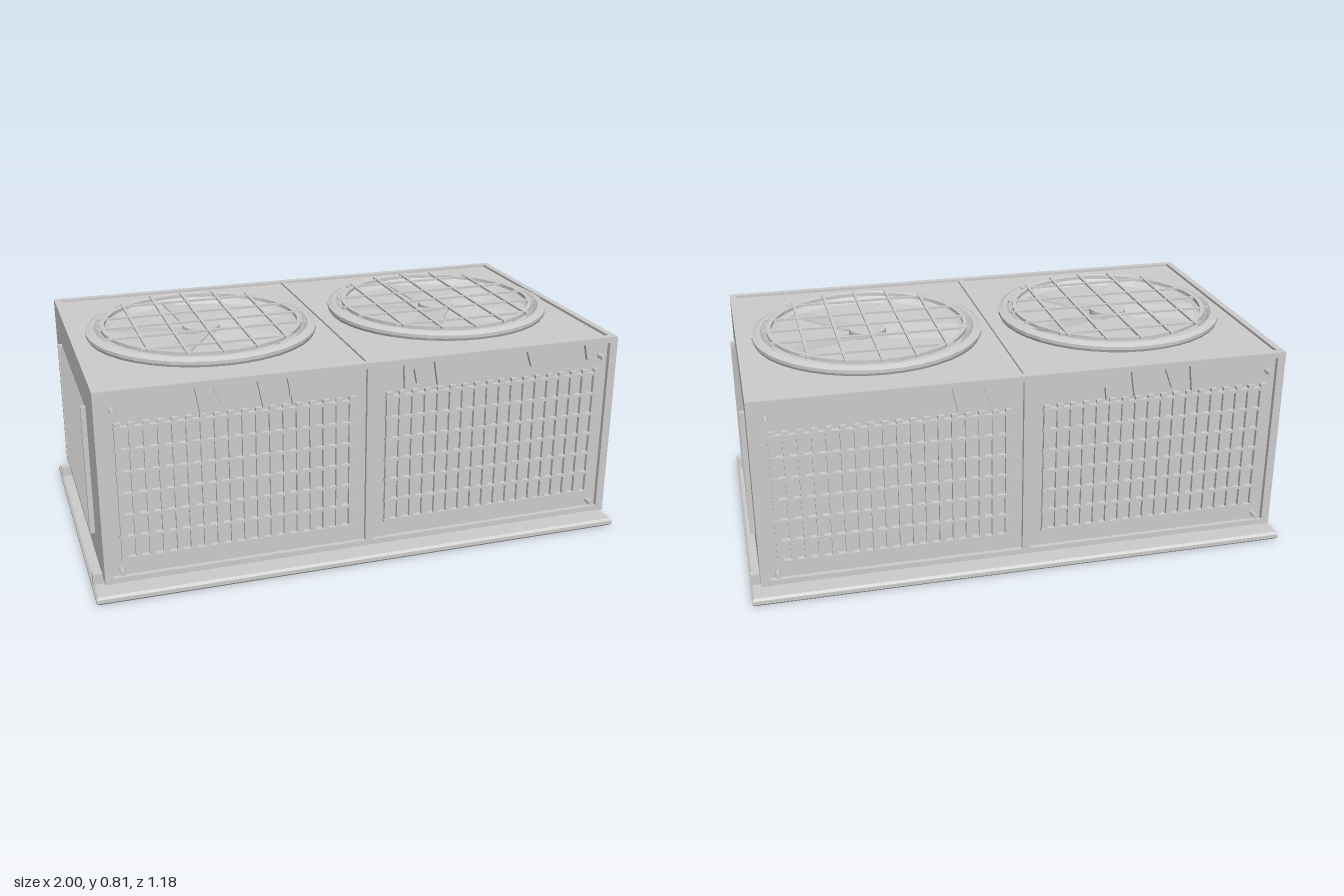
import * as THREE from 'three';

const mat = new THREE.MeshStandardMaterial({ color: 0xcccccc });
const flat = new THREE.MeshStandardMaterial({ color: 0xcccccc, flatShading: true, side: THREE.DoubleSide });

function add(parent, name, geo, x = 0, y = 0, z = 0, material = mat) {
  const m = new THREE.Mesh(geo, material);
  m.name = name;
  m.position.set(x, y, z);
  parent.add(m);
  return m;
}
const box = (parent, name, w, h, d, x, y, z) => add(parent, name, new THREE.BoxGeometry(w, h, d), x, y, z);

function group(parent, name) {
  const g = new THREE.Group();
  g.name = name;
  parent.add(g);
  return g;
}

// One long face with two wire grilles; built facing +z
function longFace(parent, name) {
  const g = group(parent, name);
  // Raised frame
  for (const s of [-1, 1]) box(g, 'framePost', 0.03, 0.705, 0.02, s * 0.947, 0.4175, 0.557);
  box(g, 'centrePost', 0.03, 0.67, 0.02, 0, 0.4175, 0.556);
  box(g, 'topRail', 1.92, 0.02, 0.02, 0, 0.76, 0.557);
  box(g, 'bottomRail', 1.92, 0.02, 0.02, 0, 0.077, 0.557);

  for (const s of [-1, 1]) {
    const grille = group(g, 'coilGrille');
    grille.position.x = s * 0.478;
    // Vertical fins and crossing wires
    const fins = 18;
    for (let i = 0; i < fins; i++)
      box(grille, 'fin', 0.022, 0.5, 0.014, -0.409 + (0.818 * i) / (fins - 1), 0.403, 0.559);
    for (let i = 0; i < 7; i++)
      box(grille, 'wire', 0.845, 0.01, 0.02, 0, 0.155 + i * 0.08, 0.558);
    // Bolts at the outer corners
    for (const y of [0.11, 0.7]) {
      const bolt = add(g, 'bolt', new THREE.CylinderGeometry(0.01, 0.01, 0.036, 10), s * 0.9, y, 0.567);
      bolt.rotation.x = Math.PI / 2;
    }
  }

  // Icicles under the top rail: left edge, right edge, tip x, tip y
  const icicles = [
    [-0.625, -0.595, -0.607, 0.65], [-0.565, -0.5, -0.53, 0.67], [-0.41, -0.375, -0.39, 0.65],
    [-0.305, -0.275, -0.285, 0.65], [-0.295, -0.235, -0.295, 0.68], [0.12, 0.165, 0.125, 0.66],
    [0.155, 0.21, 0.17, 0.675], [0.235, 0.27, 0.25, 0.66], [0.595, 0.635, 0.615, 0.69], [0.83, 0.855, 0.843, 0.69],
  ];
  for (const [a, b, tx, ty] of icicles) {
    const tri = new THREE.Shape([[tx, ty], [b, 0.752], [a, 0.752]].map(p => new THREE.Vector2(...p)));
    add(g, 'icicle', new THREE.ExtrudeGeometry(tri, { depth: 0.018, bevelEnabled: false }), 0, 0, 0.548);
  }
  return g;
}

// Louvred vent; built on the +x end
function sideVent(parent, name) {
  const g = group(parent, name);
  for (const s of [-1, 1]) box(g, 'ventPost', 0.025, 0.48, 0.018, 0.967, 0.405, s * 0.35);
  for (let i = 0; i < 12; i++) {
    const slat = box(g, 'louvre', 0.008, 0.038, 0.69, 0.967, 0.187 + i * 0.0395, 0);
    slat.rotation.z = 0.5;
  }
  return g;
}

function fan(parent, x) {
  const g = group(parent, 'fan');
  g.position.x = x;
  // Outer collar and upper guard ring
  const collar = [[0.36, 0.76], [0.425, 0.765], [0.43, 0.775], [0.43, 0.787], [0.41, 0.797], [0.4, 0.797], [0.385, 0.78], [0.36, 0.76]];
  add(g, 'collar', new THREE.LatheGeometry(collar.map(p => new THREE.Vector2(...p)), 40), 0, 0, 0, flat);
  const ring = [[0.36, 0.79], [0.375, 0.79], [0.375, 0.803], [0.36, 0.803], [0.36, 0.79]];
  add(g, 'guardRing', new THREE.LatheGeometry(ring.map(p => new THREE.Vector2(...p)), 40), 0, 0, 0, flat);
  // Guard wires, each trimmed to the ring
  for (const o of [-0.25, -0.125, 0, 0.125, 0.25]) {
    const len = 2 * Math.sqrt(0.39 ** 2 - o * o);
    box(g, 'guardWire', 0.011, 0.008, len, o, 0.803, 0);
  }
  for (const o of [-0.273, -0.123, 0, 0.123, 0.273]) {
    const len = 2 * Math.sqrt(0.39 ** 2 - o * o);
    box(g, 'guardWire', len, 0.008, 0.011, 0, 0.801, o);
  }
  // Hub and pitched blades
  add(g, 'hub', new THREE.CylinderGeometry(0.07, 0.07, 0.03, 24), 0, 0.772, 0);
  for (let i = 0; i < 5; i++) {
    const arm = group(g, 'bladeArm');
    arm.rotation.y = (i * Math.PI * 2) / 5 + 0.4;
    const blade = box(arm, 'blade', 0.28, 0.006, 0.12, 0.2, 0.768, 0);
    blade.rotation.x = 0.2;
  }
}

export function createModel() {
  const root = new THREE.Group();
  root.name = 'condenserUnit';

  // Ground slab with a chamfered rim, and support rails
  const slabShape = new THREE.Shape([[-0.99, -0.58], [0.99, -0.58], [0.99, 0.58], [-0.99, 0.58]].map(p => new THREE.Vector2(...p)));
  const slab = new THREE.ExtrudeGeometry(slabShape, {
    depth: 0.014, bevelEnabled: true, bevelSize: 0.008, bevelThickness: 0.008, bevelSegments: 1,
  });
  slab.rotateX(-Math.PI / 2);
  add(root, 'groundSlab', slab, 0, 0.008, 0);
  for (const s of [-1, 1]) box(root, 'supportRail', 1.99, 0.05, 0.028, 0, 0.045, s * 0.475);

  // Cabinet with end panels
  const cabinet = group(root, 'cabinet');
  box(cabinet, 'body', 1.9, 0.695, 1.1, 0, 0.4135, 0);
  for (const s of [-1, 1]) {
    box(cabinet, 'endPanel', 0.014, 0.705, 1.13, s * 0.955, 0.4175, 0);
    box(cabinet, 'topEndRim', 0.025, 0.018, 1.13, s * 0.949, 0.762, 0);
    box(cabinet, 'topLongRim', 1.9, 0.018, 0.025, 0, 0.762, s * 0.5525);
  }
  box(cabinet, 'topSeam', 0.02, 0.012, 1.1, 0, 0.763, 0);

  longFace(root, 'frontFace');
  // Rear face keeps the same x layout
  const rear = longFace(root, 'rearFace');
  rear.scale.z = -1;

  sideVent(root, 'leftVent');
  sideVent(root, 'rightVent').rotation.y = Math.PI;

  for (const s of [-1, 1]) fan(root, s * 0.475);
  return root;
}
